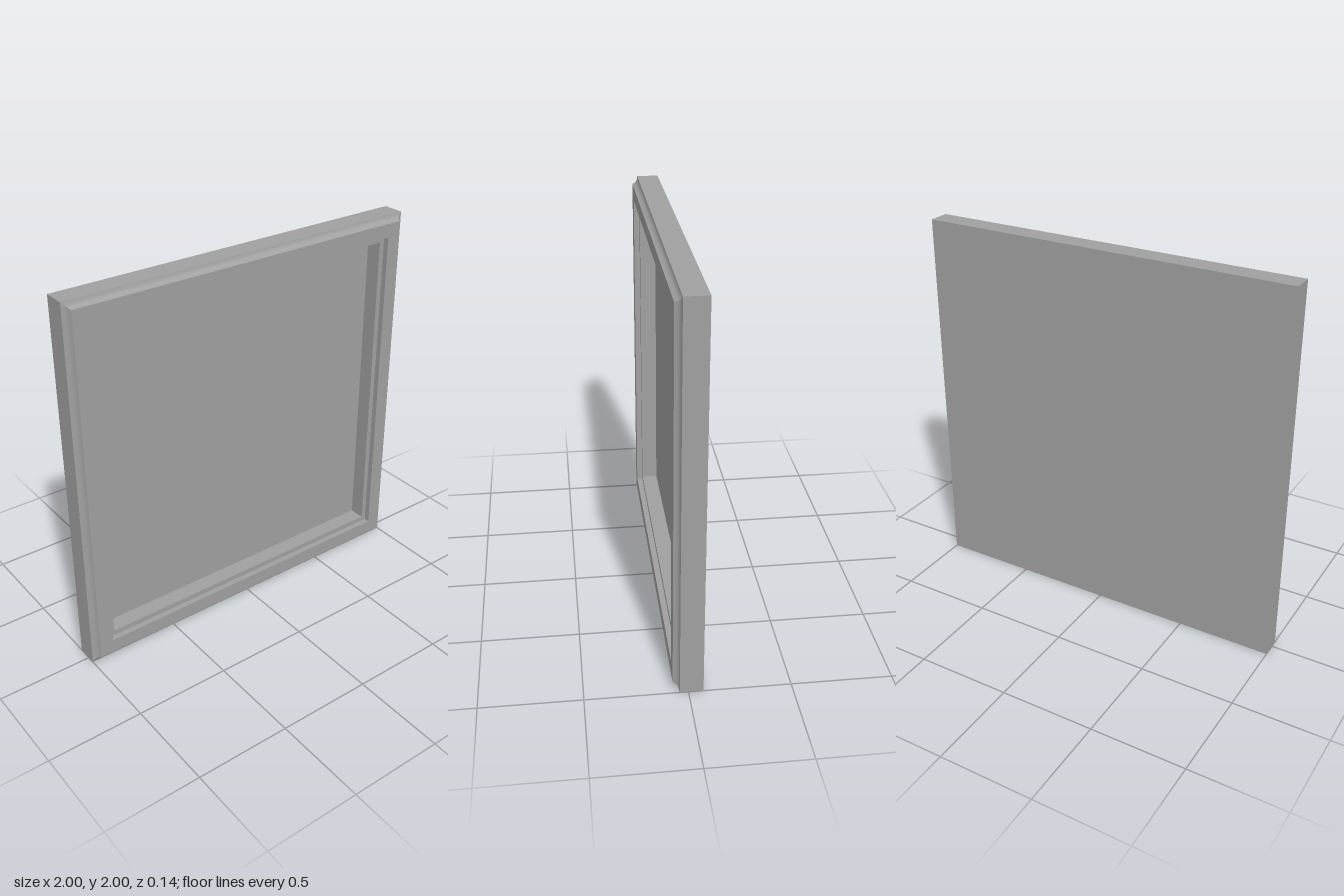
import * as THREE from 'three';

const FRONT = 0.0725, SHOULDER = 0.042, PANEL = -0.045, BACK = -0.0725;

// Sweeps a profile of [half width, z] points round the four mitred sides of a square.
function squareSweep(profile) {
  const pos = [], index = [];
  for (let side = 0; side < 4; side++) {
    const a = side * Math.PI / 2, c = Math.cos(a), s = Math.sin(a);
    const base = pos.length / 3;
    for (const [r, z] of profile) {
      for (const t of [-r, r]) pos.push(r * c - t * s, r * s + t * c, z);
    }
    for (let i = 0; i < profile.length - 1; i++) {
      const k = base + i * 2;
      index.push(k, k + 1, k + 3, k, k + 3, k + 2);
    }
  }
  const g = new THREE.BufferGeometry();
  g.setAttribute('position', new THREE.Float32BufferAttribute(pos, 3));
  g.setIndex(index);
  g.computeVertexNormals();
  return g;
}

export function createModel() {
  const model = new THREE.Group();
  model.name = 'squareFrame';
  const grey = new THREE.MeshStandardMaterial({ color: 0xa0a0a0 });
  grey.name = 'grey';

  const add = (name, geometry) => {
    const mesh = new THREE.Mesh(geometry, grey);
    mesh.name = name;
    mesh.position.y = 1;
    model.add(mesh);
    return mesh;
  };

  // Profiles run from back to front outside, then from front to back inside
  const bands = {
    outerSides: [[1, BACK], [1, SHOULDER]],
    coveMoulding: [[1, SHOULDER], [0.984, 0.046], [0.973, 0.055], [0.965, FRONT]],
    frontFace: [[0.965, FRONT], [0.89, FRONT]],
    rebateWall: [[0.89, FRONT], [0.89, SHOULDER]],
    rebateLedge: [[0.89, SHOULDER], [0.862, SHOULDER]],
    recessWall: [[0.862, SHOULDER], [0.862, PANEL]],
  };
  for (const [name, profile] of Object.entries(bands)) add(name, squareSweep(profile));

  // Recessed panel and flat back
  add('recessedPanel', new THREE.PlaneGeometry(1.724, 1.724)).position.z = PANEL;
  const back = add('backFace', new THREE.PlaneGeometry(2, 2));
  back.position.z = BACK;
  back.rotation.y = Math.PI;

  return model;
}
